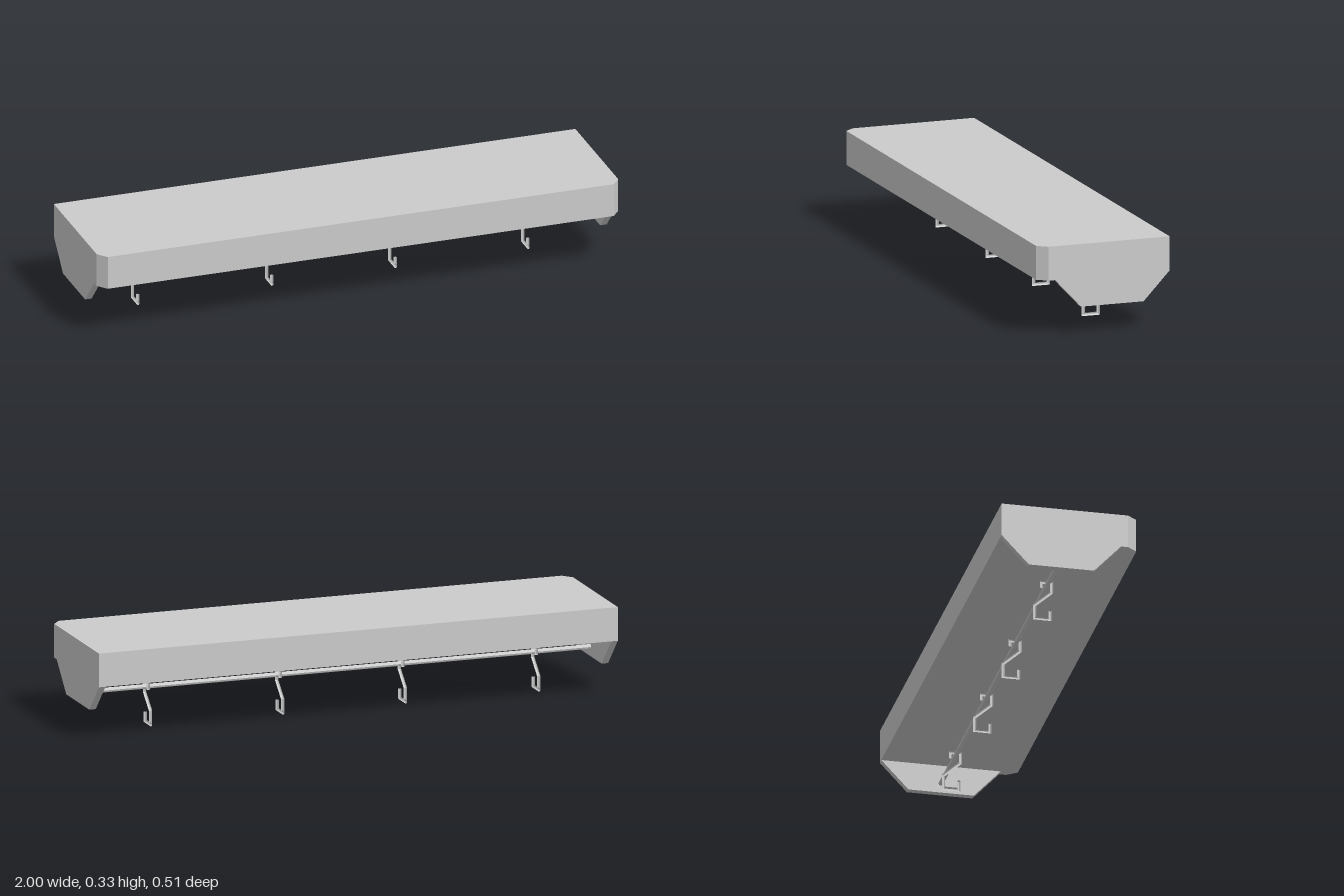
import * as THREE from 'three';

const material = new THREE.MeshStandardMaterial({ color: 0xcccccc, flatShading: true });

function addMesh(parent, name, geometry) {
  const mesh = new THREE.Mesh(geometry, material);
  mesh.name = name;
  parent.add(mesh);
  return mesh;
}

function extrude(points, depth) {
  const shape = new THREE.Shape(points.map(([x, y]) => new THREE.Vector2(x, y)));
  return new THREE.ExtrudeGeometry(shape, { depth, bevelEnabled: false });
}

// Mitred round wire following a path of [z, y] points in the plane x = 0
function bentWire(path, radius, sides) {
  const pts = path.map(([z, y]) => new THREE.Vector2(z, y));
  const last = pts.length - 1;
  const positions = [], index = [];
  pts.forEach((p, i) => {
    const into = pts[Math.max(i, 1)].clone().sub(pts[Math.max(i, 1) - 1]).normalize();
    const next = Math.min(i, last - 1);
    const out = pts[next + 1].clone().sub(pts[next]).normalize();
    const normalIn = new THREE.Vector2(-into.y, into.x);
    const mitre = normalIn.clone().add(new THREE.Vector2(-out.y, out.x)).normalize();
    mitre.divideScalar(mitre.dot(normalIn));
    for (let k = 0; k < sides; k++) {
      const a = (k + 0.5) / sides * Math.PI * 2;
      const c = Math.cos(a) * radius;
      positions.push(Math.sin(a) * radius, p.y + mitre.y * c, p.x + mitre.x * c);
    }
  });
  for (let i = 0; i < last; i++) {
    for (let k = 0; k < sides; k++) {
      const a = i * sides + k, b = i * sides + (k + 1) % sides;
      index.push(a, b, a + sides, b, b + sides, a + sides);
    }
  }
  // End caps
  for (let k = 1; k < sides - 1; k++) {
    const e = last * sides;
    index.push(0, k + 1, k, e, e + k, e + k + 1);
  }
  const geometry = new THREE.BufferGeometry();
  geometry.setAttribute('position', new THREE.Float32BufferAttribute(positions, 3));
  geometry.setIndex(index);
  geometry.computeVertexNormals();
  return geometry;
}

export function createModel() {
  const model = new THREE.Group();
  model.name = 'hookRailShelf';

  // Shelf slab with clipped front corners
  const slab = extrude([
    [-1, 0.253], [-1, -0.216], [-0.97, -0.253],
    [0.97, -0.253], [1, -0.216], [1, 0.253],
  ], 0.126);
  slab.rotateX(-Math.PI / 2);
  addMesh(model, 'shelf', slab).position.y = 0.209;

  // Tapered end brackets
  const bracket = extrude([
    [-0.19, 0.209], [-0.09, 0.102], [0.152, 0.102], [0.253, 0.209],
  ], 0.025);
  bracket.rotateY(Math.PI / 2);
  addMesh(model, 'leftBracket', bracket).position.x = 0.975;
  addMesh(model, 'rightBracket', bracket).position.x = -1;

  // Rod between the brackets
  const rod = new THREE.CylinderGeometry(0.009, 0.009, 1.95, 8);
  rod.rotateZ(Math.PI / 2);
  addMesh(model, 'rod', rod).position.set(0, 0.138, -0.032);

  // Wire hooks hanging over the rod
  const hook = bentWire([
    [-0.019, 0.04], [-0.019, 0.006], [-0.076, 0.006], [-0.076, 0.058],
    [-0.013, 0.114], [-0.013, 0.152], [-0.05, 0.152], [-0.05, 0.13],
  ], 0.0062, 8);
  [-0.76, -0.246, 0.227, 0.736].forEach((x, i) => {
    addMesh(model, `hook${i + 1}`, hook).position.x = x;
  });

  return model;
}
